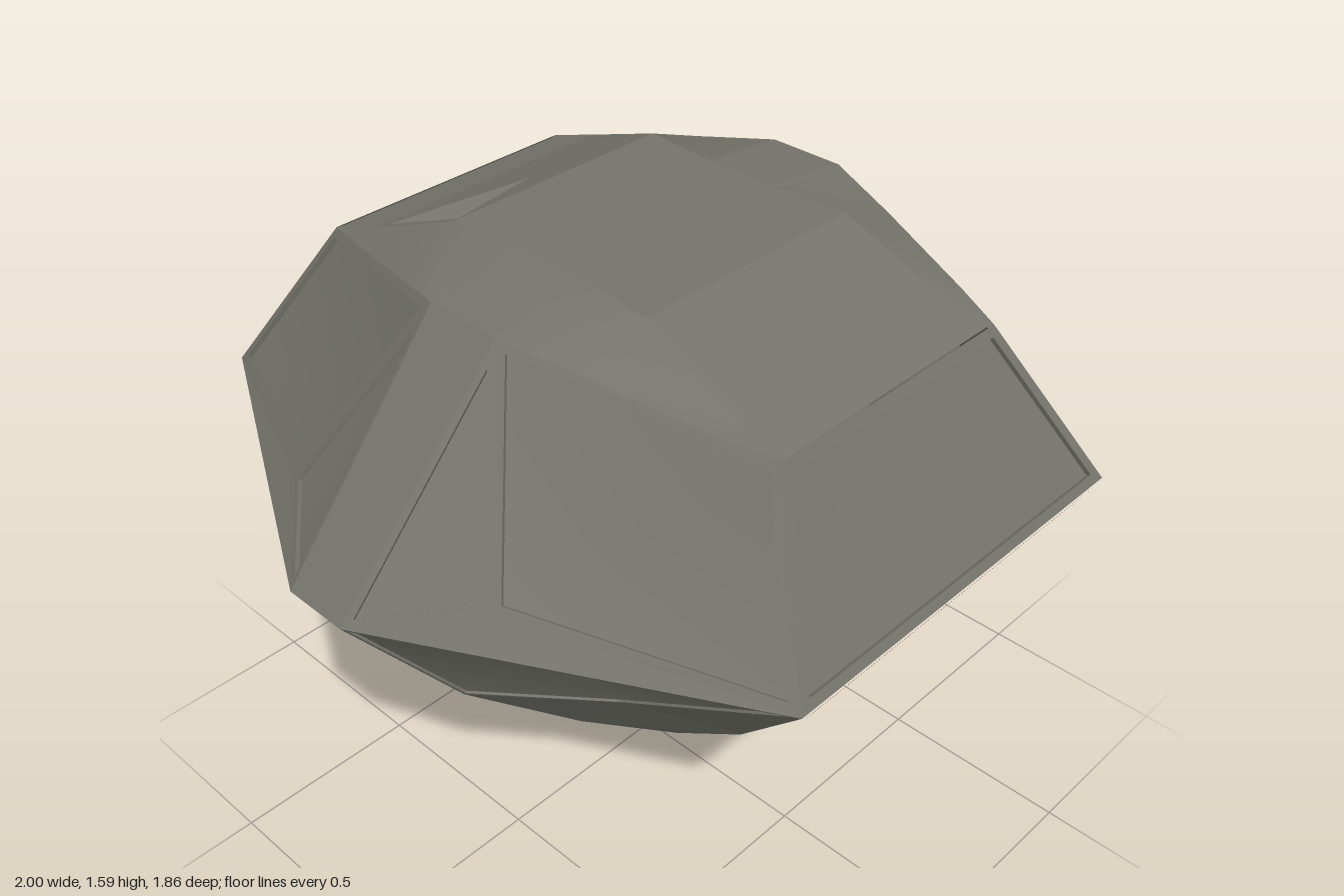
import * as THREE from 'three';

const stone = new THREE.MeshStandardMaterial({ color: 0x74746c, side: THREE.DoubleSide });
stone.name = 'greyStone';
const red = new THREE.MeshStandardMaterial({ color: 0x915a53, side: THREE.DoubleSide });
red.name = 'dullRed';

const V = (x, y, z) => new THREE.Vector3(x, y, z);
const CENTRE = V(0, 0.9, 0);

// Mesh from points and triangle indices, with faces turned away from the centre
function surface(name, pts, tris, smooth = false, material = stone) {
  const index = [];
  for (const [a, b, c] of tris) {
    const n = pts[b].clone().sub(pts[a]).cross(pts[c].clone().sub(pts[a]));
    const outward = n.dot(pts[a].clone().sub(CENTRE)) >= 0;
    index.push(a, ...(outward ? [b, c] : [c, b]));
  }
  let geo = new THREE.BufferGeometry().setFromPoints(pts);
  geo.setIndex(index);
  if (!smooth) geo = geo.toNonIndexed();
  geo.computeVertexNormals();
  const mesh = new THREE.Mesh(geo, material);
  mesh.name = name;
  return mesh;
}

// Grid of rows of points
function grid(name, rows, smooth = false) {
  const w = rows[0].length, tris = [];
  for (let r = 0; r < rows.length - 1; r++)
    for (let c = 0; c < w - 1; c++) {
      const a = r * w + c;
      tris.push([a, a + 1, a + w], [a + 1, a + w + 1, a + w]);
    }
  return surface(name, rows.flat(), tris, smooth);
}

// Narrow rim around an outline, with a lowered panel that dips toward its middle
function facet(name, outline, rim, depth, dip, pull = null) {
  const n = outline.length, group = new THREE.Group();
  group.name = name;
  const mid = outline.reduce((s, p) => s.add(p), V(0, 0, 0)).divideScalar(n);
  const normal = V(0, 0, 0);
  outline.forEach((p, i) => normal.add(p.clone().sub(mid).cross(outline[(i + 1) % n].clone().sub(mid))));
  normal.normalize();
  if (normal.dot(mid.clone().sub(CENTRE)) < 0) normal.negate();
  const inner = outline.map((p, i) => {
    const d1 = outline[(i + 1) % n].clone().sub(p).normalize();
    const d2 = outline[(i + n - 1) % n].clone().sub(p).normalize();
    const s = d1.clone().cross(d2).length();
    if (s < 0.35) return p.clone().addScaledVector(mid.clone().sub(p).normalize(), rim * 1.5);
    return p.clone().addScaledVector(d1.add(d2), rim / s);
  });
  const floor = inner.map(p => p.clone().addScaledVector(normal, -depth));
  const ring = (a, b) => grid('', [[...a, a[0]], [...b, b[0]]]);
  const frame = ring(outline, inner), wall = ring(inner, floor);
  frame.name = 'rim';
  wall.name = 'rimWall';
  const low = floor.reduce((s, p) => s.add(p), V(0, 0, 0)).divideScalar(n);
  if (pull) low.lerp(pull, 0.25);
  low.addScaledVector(normal, -dip);
  const panel = surface('panel', [...floor, low], floor.map((_, i) => [i, (i + 1) % n, n]), true);
  group.add(frame, wall, panel);
  return group;
}

// Key corners of one quarter
const A = [0.54, 1.055, 0.93], B = [1, 1.055, 0.085];       // girdle
const K = [0.36, 1.445, 0.695], L = [0.55, 1.56, 0.1];      // table edge
const M = [0.8, 1.12, 0.33];                                // crown side
const C = [0.72, 0.69, 0.11], D = [0.53, 0.75, 0.43];       // upper pavilion
const E = [0.31, 0.6, 0.59], F = [0.4, 0.4, 0.15], G = [0.07, 0.13, 0.17], T = [0, 0, 0];

export function createModel() {
  const model = new THREE.Group();
  model.name = 'gem';

  // Four mirrored quarters
  for (const sx of [1, -1]) for (const sz of [1, -1]) {
    const p = ([x, y, z]) => V(x * sx, y, z * sz);
    const broken = sx > 0 && sz < 0;
    model.add(
      facet('crownSideFacet', [K, A, M, L].map(p), 0.022, 0.012, 0.05, p(M)),
      facet('crownStarFacet', [L, M, B].map(p), 0.016, 0.01, broken ? 0.12 : 0.015),
      surface('girdleFacet', [A, B, M].map(p), [[0, 1, 2]]),
      facet('upperPavilionFacet', [A, B, C, D].map(p), 0.01, 0.006, 0.05),
      surface('lowerPavilionFacets', [A, D, E, C, F, G, T].map(p),
        [[0, 1, 2], [1, 4, 2], [1, 3, 4], [2, 4, 5], [5, 4, 6]])
    );
  }

  // Front and back: crown facet, pavilion panel, table
  for (const sz of [1, -1]) {
    const p = ([x, y, z]) => V(x, y, z * sz);
    const m = ([x, y, z]) => V(-x, y, z * sz);
    model.add(
      facet('crownMainFacet', [m(A), p(A), p(K), m(K)], 0.024, 0.012, 0.008),
      facet('mainPavilionFacet', [m(A), p(A), p(E), p(G), m(G), m(E)], 0.04, 0.02, 0.01),
      surface('tipFacet', [p(G), m(G), p(T)], [[0, 1, 2]])
    );

    // Table rows: outer edge and raised middle
    const rows = [
      [K, [0.34, 1.445, 0.69]], [[0.4, 1.47, 0.58], [0.33, 1.475, 0.58]],
      [[0.49, 1.525, 0.3], [0.32, 1.588, 0.3]], [L, [0.3, 1.592, 0.09]]
    ].map(([o, i]) => [m(o), m(i), p(i), p(o)]);
    model.add(grid('tableLip', rows.slice(0, 2)));
    for (const k of [0, 2]) model.add(grid('tableShoulder', rows.slice(1).map(r => r.slice(k, k + 2)), true));
    model.add(grid('tableTop', rows.slice(2).map(r => r.slice(1, 3))));

    // Table slope, broken by a triangular pit at the back
    const slopeY = z => 1.588 - (z - 0.3) / 0.28 * 0.113;
    const shape = new THREE.Shape([[-0.33, 0.58], [0.33, 0.58], [0.32, 0.3], [-0.32, 0.3]].map(q => new THREE.Vector2(...q)));
    const pit = [[-0.31, 0.55], [-0.3, 0.305], [0, 0.4]];
    if (sz < 0) shape.holes.push(new THREE.Path(pit.map(q => new THREE.Vector2(...q))));
    const flat = new THREE.ShapeGeometry(shape), pos = flat.attributes.position, idx = flat.index.array;
    const pts = [], tris = [];
    for (let i = 0; i < pos.count; i++) pts.push(V(pos.getX(i), slopeY(pos.getY(i)), pos.getY(i) * sz));
    for (let i = 0; i < idx.length; i += 3) tris.push([idx[i], idx[i + 1], idx[i + 2]]);
    model.add(surface('tableSlope', pts, tris));
    if (sz < 0) model.add(surface('tablePit',
      [...pit.map(([x, z]) => V(x, slopeY(z), -z)), V(-0.16, 1.38, -0.37)], [[0, 1, 3], [1, 2, 3], [2, 0, 3]]));
  }

  // Band running over the top and down both sides to the tip
  const half = [T, F, C, B, L, [0.3, 1.592, 0.09]];
  const path = [...half.map(([x, y, z]) => [-x, y, z]), ...half.slice().reverse()];
  model.add(grid('centreBand', path.map(([x, y, z]) => [V(x, y, z), V(x, y, -z)])));

  // Red inlay under the front girdle
  model.add(surface('redInlay',
    [V(-0.51, 1.04, 0.926), V(0.51, 1.04, 0.926), V(0.47, 0.97, 0.885), V(-0.47, 0.97, 0.885)],
    [[0, 1, 2], [0, 2, 3]], false, red));
  return model;
}
